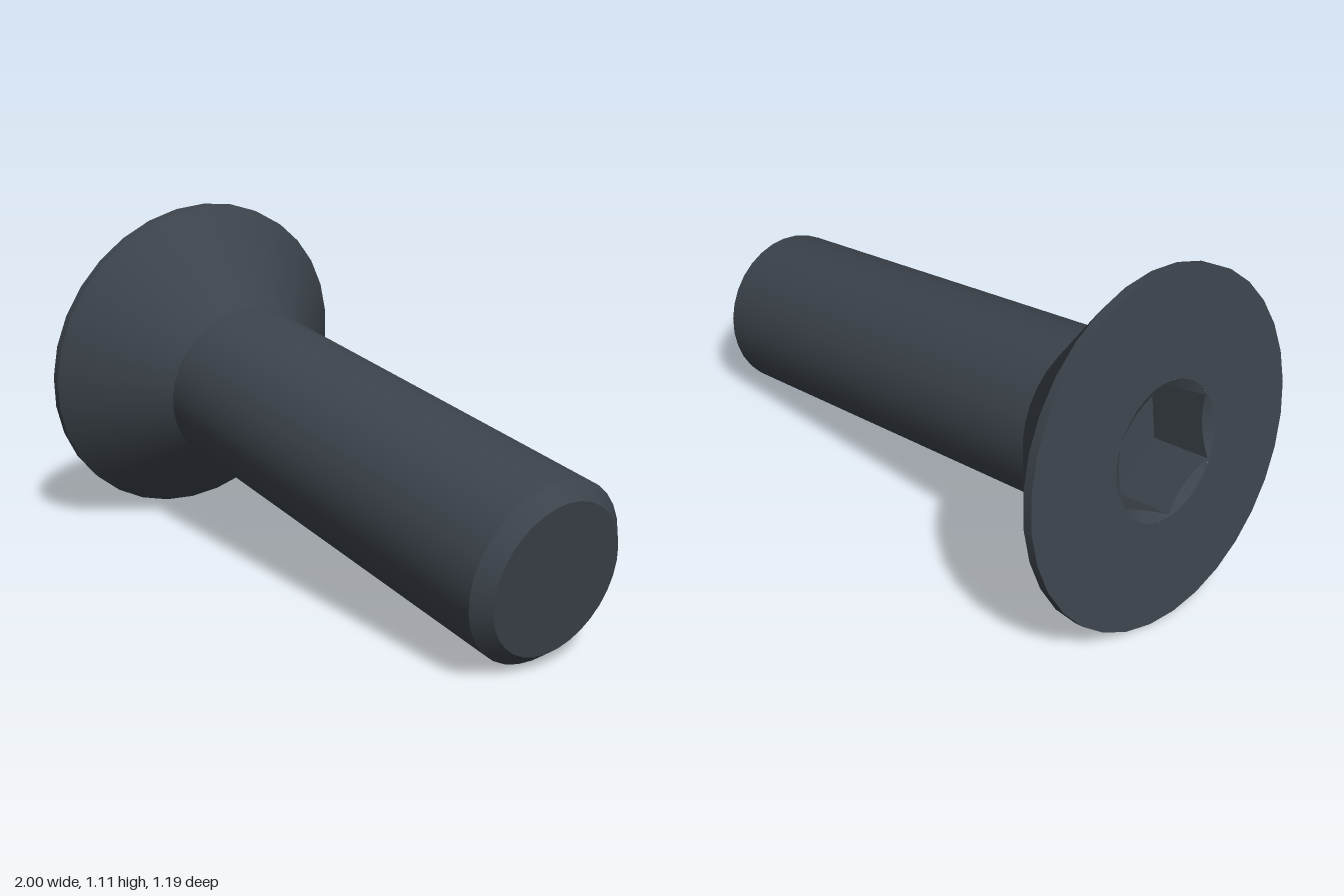
import * as THREE from 'three';

const SEGMENTS = 32;
const LENGTH = 1.86, HEAD_R = 0.559, SHANK_R = 0.278, TIP_R = 0.232;
const RIM = 0.03, NECK = 0.312, CHAMFER = 0.046;
const SOCKET_R = 0.22, HEX_APOTHEM = 0.186, SOCKET_DEPTH = 0.21;

export function createModel() {
  const steel = new THREE.MeshStandardMaterial({ color: 0x3c434b });
  steel.name = 'dark steel';

  const screw = new THREE.Group();
  screw.name = 'countersunkScrew';

  const add = (name, geometry) => {
    const mesh = new THREE.Mesh(geometry, steel);
    mesh.name = name;
    screw.add(mesh);
  };

  // Turned surfaces along local y; separate bands keep the edges between them sharp
  const band = (name, r0, y0, r1, y1) => add(name, new THREE.LatheGeometry(
    [new THREE.Vector2(r0, y0), new THREE.Vector2(r1, y1)], SEGMENTS));
  band('headFace', SOCKET_R, 0, HEAD_R, 0);
  band('headRim', HEAD_R, 0, HEAD_R, RIM);
  band('headCone', HEAD_R, RIM, SHANK_R, NECK);
  band('shank', SHANK_R, NECK, SHANK_R, LENGTH - CHAMFER);
  band('tipChamfer', SHANK_R, LENGTH - CHAMFER, TIP_R, LENGTH);
  band('tipFace', TIP_R, LENGTH, 0, LENGTH);

  // Hex socket: floor, six flat walls and a conical lead-in from a round mouth
  const profile = [[0, SOCKET_DEPTH], [1, SOCKET_DEPTH], [1, 0], [SOCKET_R, 0]]
    .map(([r, y]) => new THREE.Vector2(r, y));
  const lathe = new THREE.LatheGeometry(profile, 48);
  const pos = lathe.attributes.position;
  for (let i = 0; i < pos.count; i++) {
    const row = i % 4;
    if (row !== 1 && row !== 2) continue;
    const angle = Math.floor(i / 4) / 48 * Math.PI * 2;
    const fromFlat = angle % (Math.PI / 3) - Math.PI / 6;
    const r = HEX_APOTHEM / Math.cos(fromFlat);
    const y = row === 1 ? SOCKET_DEPTH : (SOCKET_R - r) * 0.6;
    pos.setXYZ(i, Math.sin(angle) * r, y, Math.cos(angle) * r);
  }
  const socket = lathe.toNonIndexed();
  socket.computeVertexNormals();
  add('hexSocket', socket);

  // Tilted pose: local y runs from the head to the tip
  const axis = new THREE.Vector3(0.9667, -0.1537, 0.205).normalize();
  const up = new THREE.Vector3(0, 1, 0).addScaledVector(axis, -axis.y).normalize();
  const side = new THREE.Vector3().crossVectors(axis, up);
  screw.quaternion.setFromRotationMatrix(new THREE.Matrix4().makeBasis(side, axis, up));
  screw.position.set(-0.857, 0.557, -0.048);

  const model = new THREE.Group();
  model.name = 'model';
  model.add(screw);
  return model;
}
